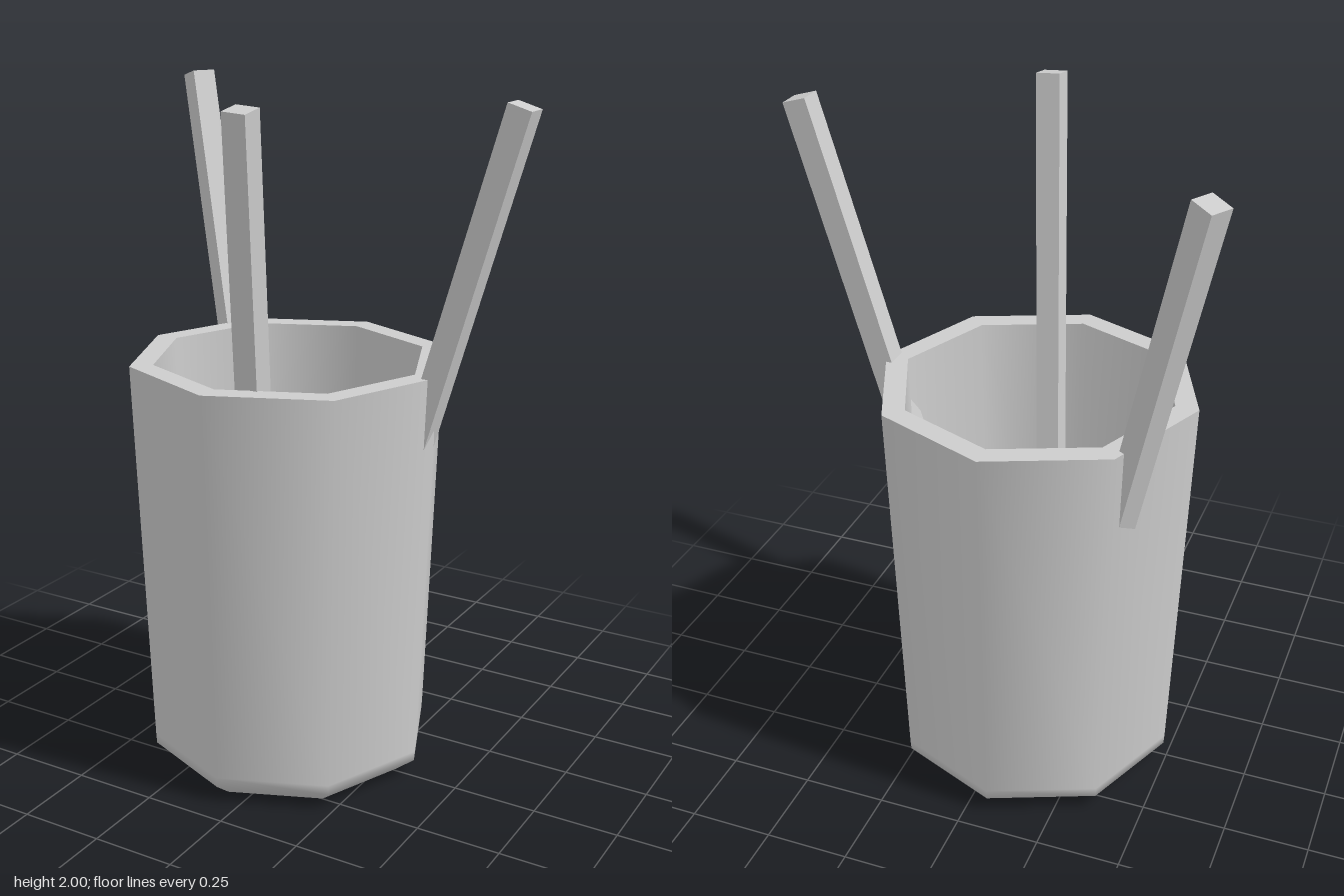
import * as THREE from 'three';

const grey = new THREE.MeshStandardMaterial({ color: 0xcccccc });
grey.name = 'plain grey';

// Eight-sided turned surface from [radius, height] pairs
function turned(name, profile) {
  const points = profile.map(([r, y]) => new THREE.Vector2(r, y));
  const mesh = new THREE.Mesh(new THREE.LatheGeometry(points, 8), grey);
  mesh.name = name;
  return mesh;
}

// Square stick hanging down from the centre of its top face
function stick(name, top, lean) {
  const geometry = new THREE.BoxGeometry(0.07, 1.91, 0.07).translate(0, -0.955, 0);
  const mesh = new THREE.Mesh(geometry, grey);
  mesh.name = name;
  mesh.position.set(...top);
  mesh.rotation.set(...lean, 'YXZ');
  return mesh;
}

export function createModel() {
  const model = new THREE.Group();
  model.name = 'cupWithSticks';

  // Tapered octagonal cup with a bevelled foot, flat rim and hollow inside
  const cup = new THREE.Group();
  cup.name = 'cup';
  cup.position.set(-0.065, 0, -0.005);
  cup.add(
    turned('cupOutside', [[0, 0], [0.35, 0], [0.365, 0.003], [0.425, 0.05], [0.427, 0.08], [0.468, 1.245]]),
    turned('cupRim', [[0.468, 1.245], [0.4, 1.245]]),
    turned('cupInside', [[0.4, 1.245], [0.363, 0.13], [0.36, 0.1], [0.34, 0.1], [0, 0.1]]),
  );
  model.add(cup);

  // Three sticks leaning outwards over the rim
  model.add(
    stick('leftStick', [0.626, 1.99, -0.008], [0, 0, -0.287]),
    stick('frontStick', [0.06, 1.992, 0.44], [0.157, 0, -0.064]),
    stick('backRightStick', [-0.617, 1.991, -0.38], [0, Math.PI * 5 / 6, -0.262]),
  );
  return model;
}
